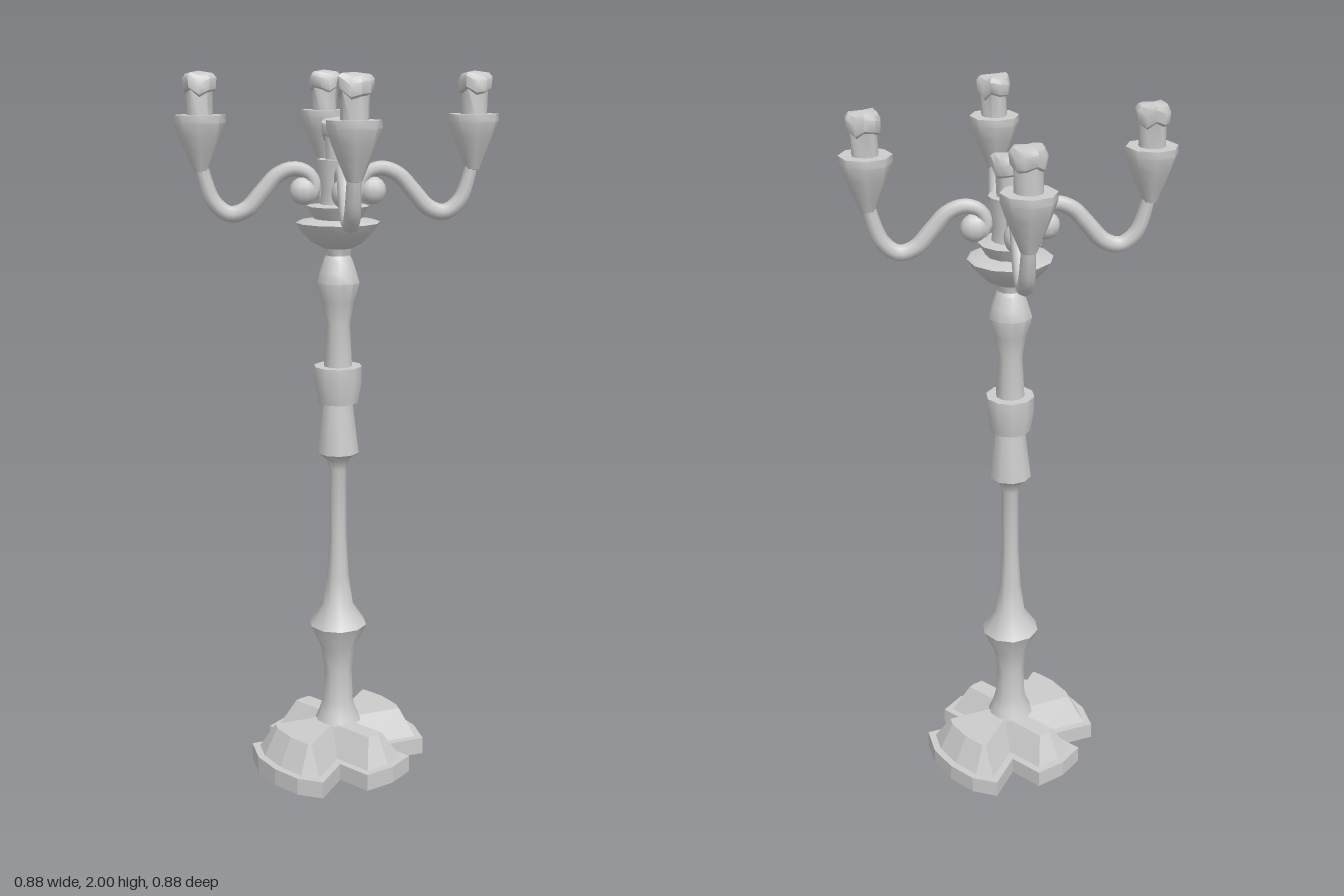
import * as THREE from 'three';
import { toCreasedNormals } from 'three/addons/utils/BufferGeometryUtils.js';

const material = new THREE.MeshStandardMaterial({ color: 0xcccccc });

function add(parent, name, geometry) {
  const mesh = new THREE.Mesh(geometry, material);
  mesh.name = name;
  parent.add(mesh);
  return mesh;
}

// Turned part from [radius, height] pairs, bottom to top
function turned(profile, sides, crease = 0.8) {
  const points = profile.map(([r, y]) => new THREE.Vector2(r, y));
  return toCreasedNormals(new THREE.LatheGeometry(points, sides), crease);
}

// Moves a counter-clockwise outline inwards by d with mitred corners
function inset(points, d) {
  const n = points.length;
  return points.map((p, i) => {
    const a = p.clone().sub(points[(i + n - 1) % n]).normalize();
    const b = points[(i + 1) % n].clone().sub(p).normalize();
    const m = new THREE.Vector2(-a.y - b.y, a.x + b.x);
    return p.clone().addScaledVector(m, d / (1 + a.dot(b)));
  });
}

// Four-lobed foot: flat slab, sloped step and flat top
function createBase() {
  const base = new THREE.Group();
  base.name = 'base';
  const half = [
    [0.125, -0.045], [0.256, -0.01], [0.243, 0.08], [0.2, 0.16], [0.14, 0.225], [0.07, 0.255],
    [0.01, 0.15], [-0.06, 0.225], [-0.14, 0.183], [-0.197, 0.12],
  ];
  const outline = [...half, ...half.map(([x, y]) => [-x, -y])].map(([x, y]) => new THREE.Vector2(x, y));
  const slab = new THREE.ExtrudeGeometry(new THREE.Shape(outline), { depth: 0.05, bevelEnabled: false });
  add(base, 'baseSlab', slab.rotateX(-Math.PI / 2));

  const low = inset(outline, 0.02), high = inset(outline, 0.06);
  const corners = [];
  low.forEach((p, i) => {
    const j = (i + 1) % low.length;
    const a = [p.x, 0.05, -p.y], b = [low[j].x, 0.05, -low[j].y];
    const c = [high[j].x, 0.13, -high[j].y], d = [high[i].x, 0.13, -high[i].y];
    corners.push(...a, ...b, ...c, ...a, ...c, ...d);
  });
  const slope = new THREE.BufferGeometry();
  slope.setAttribute('position', new THREE.Float32BufferAttribute(corners, 3));
  slope.computeVertexNormals();
  add(base, 'baseSlope', slope);
  const top = new THREE.ShapeGeometry(new THREE.Shape(high)).rotateX(-Math.PI / 2);
  add(base, 'baseTop', top.translate(0, 0.13, 0));
  return base;
}

// Candle stub with uneven melted wax round its top
function createCandle(seed) {
  const g = new THREE.LatheGeometry([
    [0.036, -0.01], [0.036, 0.06], [0.044, 0.066], [0.047, 0.095], [0.038, 0.115], [0, 0.117],
  ].map(([r, y]) => new THREE.Vector2(r, y)), 10);
  const p = g.attributes.position;
  for (let i = 0; i < p.count; i++) {
    const y = p.getY(i);
    const r = Math.hypot(p.getX(i), p.getZ(i));
    if (y < 0.05 || r < 0.001) continue;
    const a = Math.atan2(p.getZ(i), p.getX(i));
    const wave = Math.sin(3 * a + seed) * 0.6 + Math.sin(5 * a + 2 * seed) * 0.4;
    const s = 1 + 0.12 * wave;
    p.setXYZ(i, p.getX(i) * s, y + (y < 0.1 ? 0.013 * wave : 0.006 * (wave - 1)), p.getZ(i) * s);
  }
  return toCreasedNormals(g, 0.8);
}

// Tube along a curve whose radius follows radiusAt(t)
function taperedTube(curve, steps, sides, radiusAt) {
  const g = new THREE.TubeGeometry(curve, steps, 1, sides);
  const p = g.attributes.position, v = new THREE.Vector3();
  for (let i = 0; i < p.count; i++) {
    const t = Math.floor(i / (sides + 1)) / steps;
    const c = curve.getPointAt(t);
    v.fromBufferAttribute(p, i).sub(c).multiplyScalar(radiusAt(t)).add(c);
    p.setXYZ(i, v.x, v.y, v.z);
  }
  return g;
}

// Curved arm with scroll, cup and candle, reaching along +x
function createArm(seed) {
  const arm = new THREE.Group();
  arm.name = 'arm';
  const path = new THREE.CatmullRomCurve3([
    [0.37, 1.78], [0.36, 1.72], [0.335, 1.655], [0.295, 1.625], [0.25, 1.637], [0.205, 1.685],
    [0.165, 1.728], [0.12, 1.745], [0.08, 1.732], [0.062, 1.695], [0.08, 1.668], [0.1, 1.675],
  ].map(([x, y]) => new THREE.Vector3(x, y, 0)));
  add(arm, 'armStem', taperedTube(path, 40, 8, (t) => 0.017 + 0.006 * Math.sin(Math.PI * Math.min(1, t * 1.1))));
  add(arm, 'scrollEnd', new THREE.SphereGeometry(0.038, 10, 8).scale(1, 1, 0.75)).position.set(0.095, 1.685, 0);
  const cup = turned([
    [0, 1.735], [0.02, 1.74], [0.03, 1.765], [0.043, 1.795], [0.057, 1.83], [0.07, 1.868],
    [0.07, 1.888], [0, 1.888],
  ], 8);
  add(arm, 'cup', cup).position.x = 0.37;
  add(arm, 'candle', createCandle(seed)).position.set(0.37, 1.885, 0);
  return arm;
}

export function createModel() {
  const model = new THREE.Group();
  model.name = 'candelabrum';
  model.add(createBase());

  // Turned column in three stacked sections
  add(model, 'lowerColumn', turned([
    [0.068, 0.125], [0.055, 0.155], [0.045, 0.19], [0.041, 0.29], [0.052, 0.36], [0.084, 0.43],
    [0.045, 0.49], [0.032, 0.58], [0.025, 0.7], [0.025, 0.9], [0.034, 0.93], [0.06, 0.95],
    [0.05, 1.03], [0.042, 1.1],
  ], 10));
  add(model, 'collar', turned([
    [0, 1.095], [0.057, 1.095], [0.068, 1.16], [0.068, 1.2], [0, 1.2],
  ], 10));
  add(model, 'upperColumn', turned([
    [0.041, 1.19], [0.034, 1.32], [0.045, 1.38], [0.061, 1.435], [0.052, 1.465], [0.04, 1.5],
    [0.034, 1.51], [0.042, 1.535],
  ], 10));
  add(model, 'dripPan', turned([
    [0.04, 1.53], [0.07, 1.545], [0.1, 1.575], [0.116, 1.6], [0.106, 1.605], [0.065, 1.61],
    [0.086, 1.645], [0.05, 1.65], [0.045, 1.69], [0.058, 1.77], [0, 1.77],
  ], 12));
  add(model, 'centreCandle', createCandle(0.4)).position.y = 1.765;

  // Four arms at right angles
  for (let i = 0; i < 4; i++) {
    const arm = createArm(1 + i * 1.3);
    arm.rotation.y = i * Math.PI / 2;
    model.add(arm);
  }
  return model;
}
